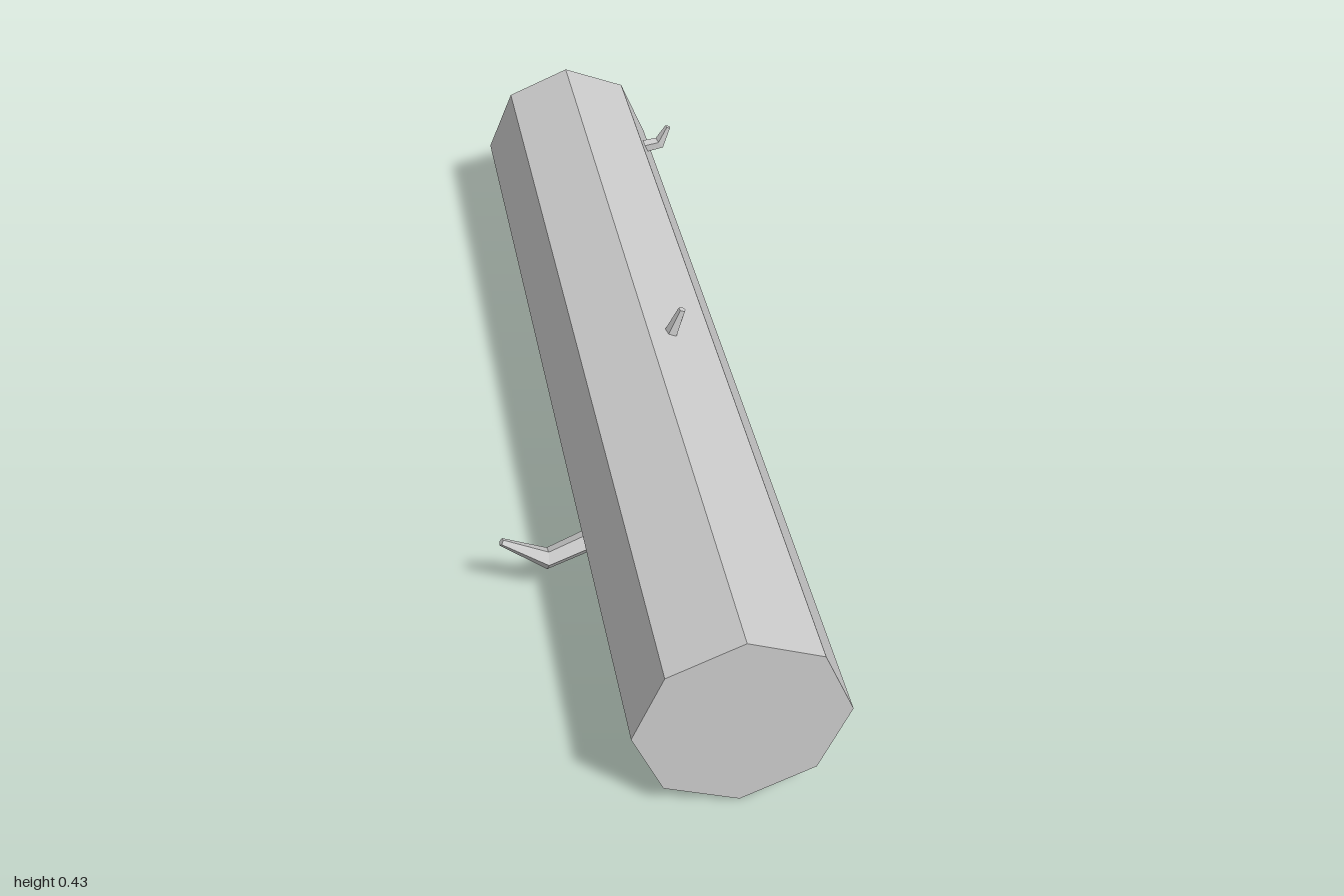
import * as THREE from 'three';

const material = new THREE.MeshStandardMaterial({ color: 0xcccccc, flatShading: true });
const SIDES = 5;

// Tapered faceted twig: mitred rings along a bent path, closed at both ends
function makeTwig(name, path, radii) {
  const pts = path.map((p) => new THREE.Vector3(...p));
  const dirs = pts.slice(1).map((p, i) => p.clone().sub(pts[i]).normalize());
  // Horizontal axis across the bend
  const side = new THREE.Vector3(0, 1, 0)
    .cross(pts[pts.length - 1].clone().sub(pts[0])).normalize();
  const positions = [];
  const index = [];
  pts.forEach((p, i) => {
    const before = dirs[Math.max(i - 1, 0)];
    const after = dirs[Math.min(i, dirs.length - 1)];
    const tangent = before.clone().add(after).normalize();
    const up = tangent.clone().cross(side).normalize();
    const mitre = 1 / tangent.dot(after);
    for (let k = 0; k < SIDES; k++) {
      const a = (k / SIDES) * Math.PI * 2;
      const v = p.clone()
        .addScaledVector(side, Math.cos(a) * radii[i])
        .addScaledVector(up, Math.sin(a) * radii[i] * mitre);
      positions.push(v.x, v.y, v.z);
    }
  });
  for (let i = 0; i < pts.length - 1; i++) {
    for (let k = 0; k < SIDES; k++) {
      const a = i * SIDES + k;
      const b = i * SIDES + ((k + 1) % SIDES);
      index.push(a, a + SIDES, b, b, a + SIDES, b + SIDES);
    }
  }
  // End caps
  const last = (pts.length - 1) * SIDES;
  for (let k = 1; k < SIDES - 1; k++) {
    index.push(0, k, k + 1, last, last + k + 1, last + k);
  }
  // Wind every face outward
  for (let i = 0; i < index.length; i += 3) {
    [index[i + 1], index[i + 2]] = [index[i + 2], index[i + 1]];
  }
  const geometry = new THREE.BufferGeometry();
  geometry.setAttribute('position', new THREE.Float32BufferAttribute(positions, 3));
  geometry.setIndex(index);
  geometry.computeVertexNormals();
  const mesh = new THREE.Mesh(geometry, material);
  mesh.name = name;
  return mesh;
}

export function createModel() {
  const group = new THREE.Group();
  group.name = 'fallenLog';

  // Octagonal trunk lying diagonally on the ground, one corner edge on top
  const trunkGeometry = new THREE.CylinderGeometry(0.198, 0.198, 2.006, 8);
  trunkGeometry.rotateX(Math.PI / 2);
  trunkGeometry.rotateY(Math.atan2(0.405, 0.918));
  trunkGeometry.translate(0, 0.198, 0);
  const trunk = new THREE.Mesh(trunkGeometry, material);
  trunk.name = 'trunk';
  group.add(trunk);

  // Bent side branch and two short twig stubs
  group.add(
    makeTwig('sideBranch',
      [[0.045, 0.15, 0.442], [-0.068, 0.1, 0.495], [-0.15, 0.16, 0.532]],
      [0.024, 0.021, 0.008]),
    makeTwig('topTwig',
      [[0.082, 0.365, 0.065], [0.105, 0.43, 0.057]],
      [0.016, 0.008]),
    makeTwig('rearTwig',
      [[-0.19, 0.278, -0.783], [-0.138, 0.287, -0.806], [-0.12, 0.33, -0.814]],
      [0.016, 0.014, 0.007]),
  );
  return group;
}
